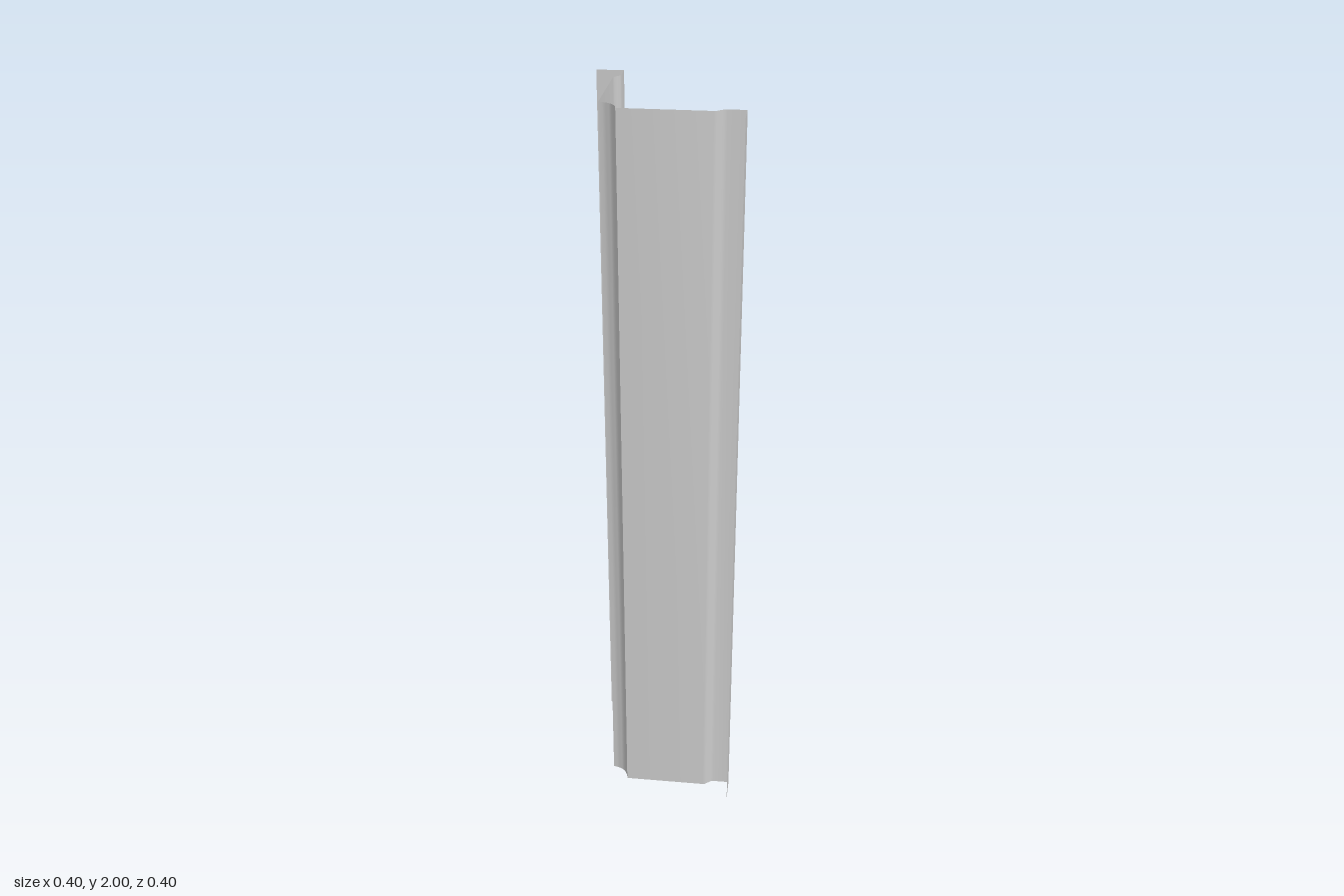
import * as THREE from 'three';
import { toCreasedNormals } from 'three/addons/utils/BufferGeometryUtils.js';

const HEIGHT = 2;

// The section is symmetric about the diagonal x = -z.
const mirror = ([x, z]) => [-z, -x];

// Open strip of sheet: a section of [x, z] points swept upward.
function sheet(section) {
  const pos = [];
  for (let i = 0; i < section.length - 1; i++) {
    const [ax, az] = section[i];
    const [bx, bz] = section[i + 1];
    pos.push(ax, 0, az, bx, HEIGHT, bz, bx, 0, bz);
    pos.push(ax, 0, az, ax, HEIGHT, az, bx, HEIGHT, bz);
  }
  const geometry = new THREE.BufferGeometry();
  geometry.setAttribute('position', new THREE.Float32BufferAttribute(pos, 3));
  return toCreasedNormals(geometry, 0.6);
}

export function createModel() {
  const group = new THREE.Group();
  group.name = 'cornerTrim';
  const material = new THREE.MeshStandardMaterial({ color: 0xcccccc, side: THREE.DoubleSide });

  // Half section: outer flange, ledge, soft step, flat panel
  const half = [
    [0.2, 0.2], [0.2, 0.13],
    [0.155, 0.13], [0.147, 0.132], [0.139, 0.139], [0.132, 0.145], [0.125, 0.147],
    [-0.1, 0.147],
  ];

  // Inward groove along the corner, from panel to panel
  const groove = new THREE.QuadraticBezierCurve(
    new THREE.Vector2(-0.1, 0.147),
    new THREE.Vector2(-0.105, 0.105),
    new THREE.Vector2(-0.147, 0.1),
  ).getPoints(8).map((p) => [p.x, p.y]);

  const parts = {
    frontPanel: half,
    cornerGroove: groove,
    sidePanel: half.map(mirror).reverse(),
  };
  for (const [name, section] of Object.entries(parts)) {
    const mesh = new THREE.Mesh(sheet(section), material);
    mesh.name = name;
    group.add(mesh);
  }
  return group;
}
